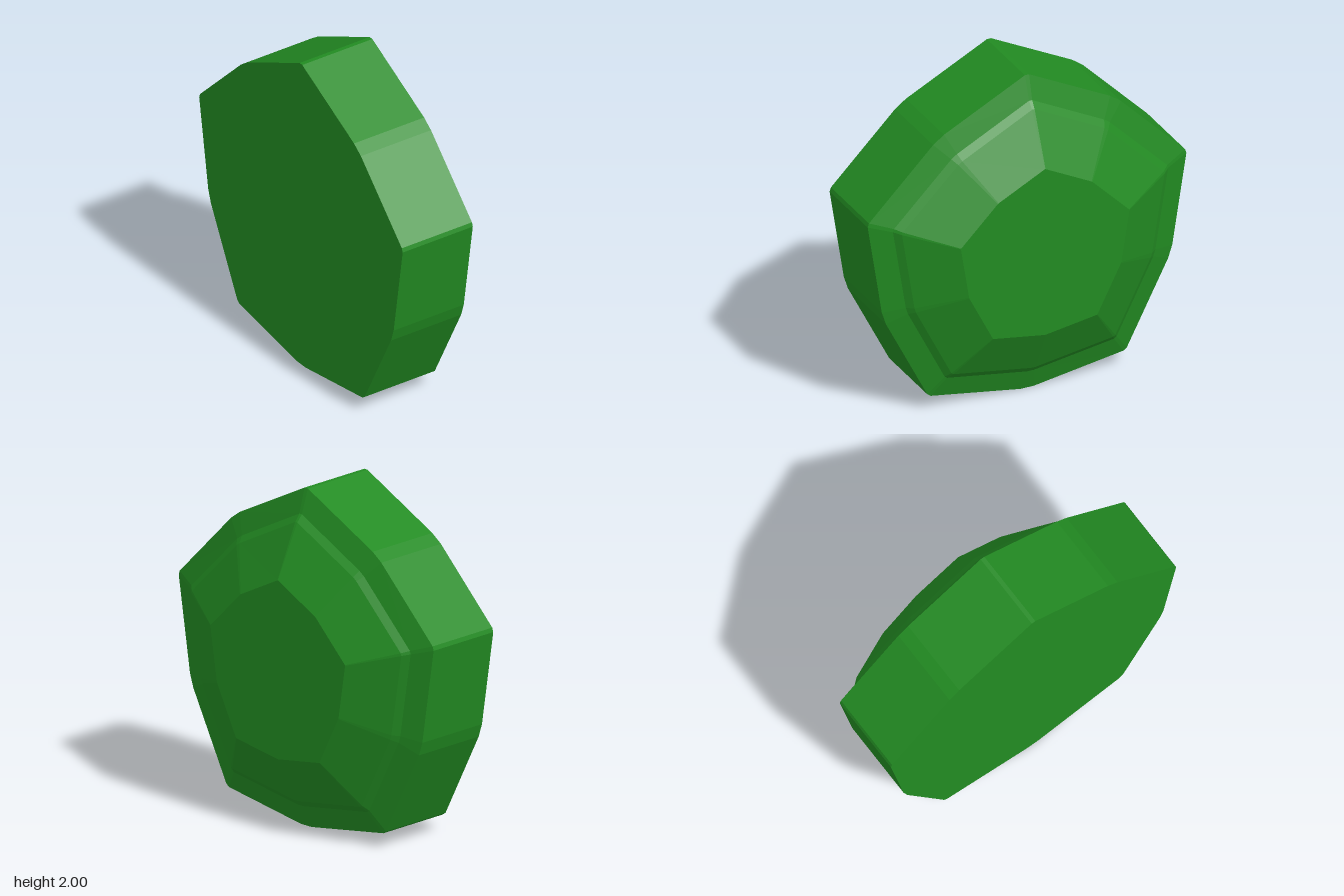
import * as THREE from 'three';

const CENTRE_Y = 0.9485;

// Cross-sections along x: [x, scale, half-width of blunted peak, half-width of blunted flat]
const SECTIONS = [
  [-0.357, 1, 0.013, 0.042],
  [0.125, 1, 0.013, 0.042],
  [0.17, 0.864, 0.010, 0.022],
  [0.205, 0.825, 0.008, 0.015],
  [0.355, 0.53, 0.002, 0.003],
];

// Five peaks alternating with five shallower corners, each corner blunted into two points
function ring([x, scale, peakCut, cornerCut]) {
  const points = [];
  for (let i = 0; i < 10; i++) {
    const angle = (i * Math.PI) / 5;
    const peak = i % 2 === 0;
    const radius = scale * (peak ? 1.0515 : 0.9485);
    const cut = peak ? peakCut : cornerCut;
    for (const side of [-cut, cut]) {
      points.push([
        x,
        CENTRE_Y + Math.cos(angle) * radius - Math.sin(angle) * side,
        Math.sin(angle) * radius + Math.cos(angle) * side,
      ]);
    }
  }
  return points;
}

function gemGeometry() {
  const rings = SECTIONS.map(ring);
  const n = rings[0].length;
  const last = rings[rings.length - 1];
  const back = [SECTIONS[0][0], CENTRE_Y, 0];
  const table = [last[0][0], CENTRE_Y, 0];
  const positions = [];
  const tri = (...corners) => corners.forEach((c) => positions.push(...c));

  for (let k = 0; k < n; k++) {
    const next = (k + 1) % n;
    // Side wall and crown facets
    for (let i = 0; i < rings.length - 1; i++) {
      const a = rings[i][k], b = rings[i][next];
      const c = rings[i + 1][k], d = rings[i + 1][next];
      tri(a, b, c);
      tri(b, d, c);
    }
    // Flat back and raised flat face
    tri(back, rings[0][next], rings[0][k]);
    tri(table, last[k], last[next]);
  }

  const geometry = new THREE.BufferGeometry();
  geometry.setAttribute('position', new THREE.Float32BufferAttribute(positions, 3));
  geometry.computeVertexNormals();
  return geometry;
}

export function createModel() {
  const group = new THREE.Group();
  group.name = 'facetedGem';
  const material = new THREE.MeshStandardMaterial({ color: 0x228b22, flatShading: true });
  const gem = new THREE.Mesh(gemGeometry(), material);
  gem.name = 'gemBody';
  group.add(gem);
  return group;
}
